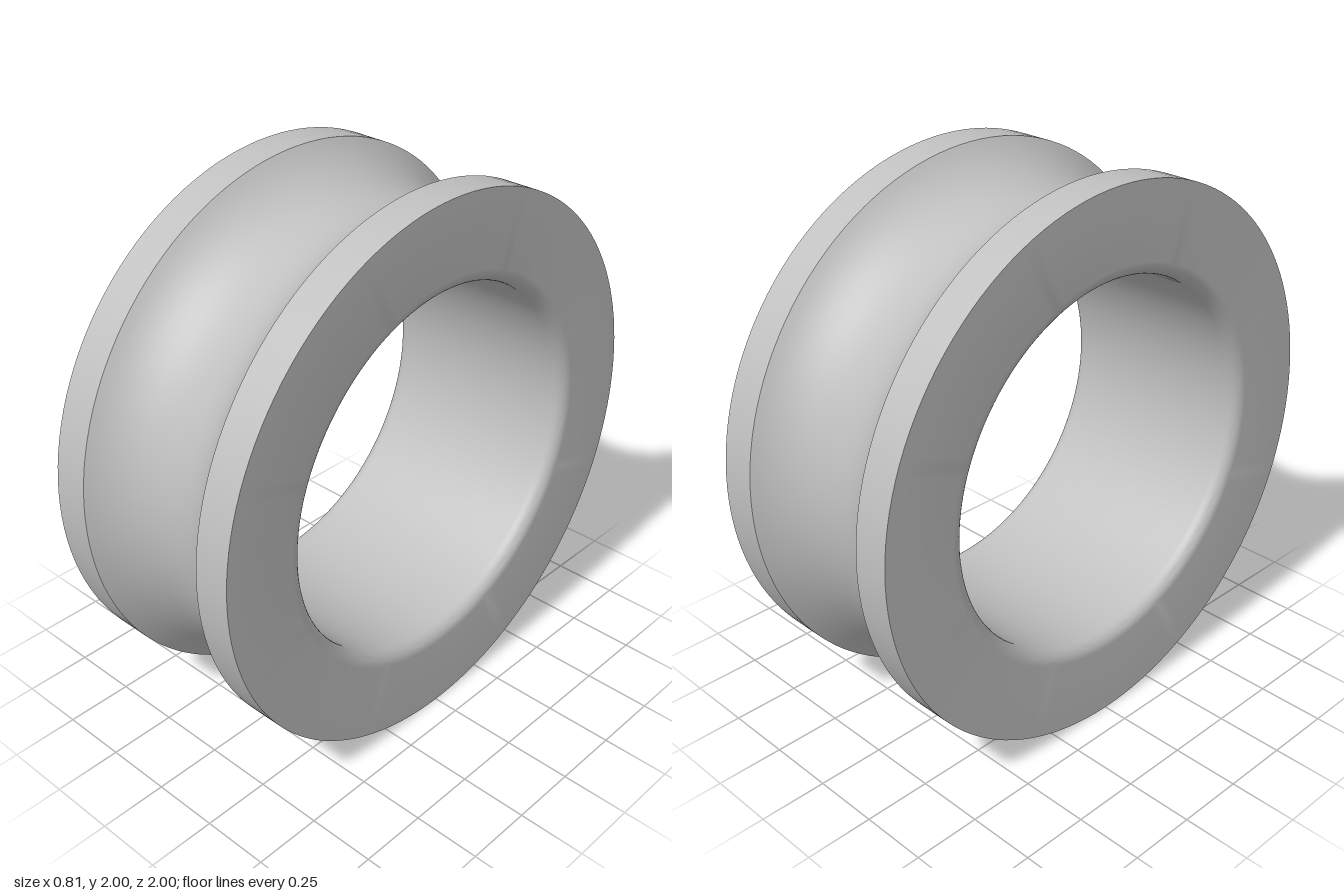
import * as THREE from 'three';
import { toCreasedNormals } from 'three/addons/utils/BufferGeometryUtils.js';

const OUTER = 1, BORE = 0.675, HALF_WIDTH = 0.405;
const GROOVE_HALF = 0.27, GROOVE_DEPTH = 0.135, FILLET = 0.05;

// Points along an arc in the (radius, axis) plane
function arc(cx, cy, r, from, to, steps) {
  return Array.from({ length: steps + 1 }, (_, i) => {
    const a = from + (to - from) * i / steps;
    return new THREE.Vector2(cx + r * Math.cos(a), cy + r * Math.sin(a));
  });
}

export function createModel() {
  const grey = new THREE.MeshStandardMaterial({ color: 0xc0c0c0 });
  grey.name = 'grey';

  // Concave groove arc between the two rims
  const r = (GROOVE_HALF ** 2 + GROOVE_DEPTH ** 2) / (2 * GROOVE_DEPTH);
  const half = Math.asin(GROOVE_HALF / r);
  const groove = arc(OUTER - GROOVE_DEPTH + r, 0, r, Math.PI + half, Math.PI - half, 28);

  // Closed cross-section: outside, end face, rounded bore, other end face
  const fc = BORE + FILLET, fy = HALF_WIDTH - FILLET;
  const profile = [
    new THREE.Vector2(OUTER, -HALF_WIDTH),
    ...groove,
    new THREE.Vector2(OUTER, HALF_WIDTH),
    ...arc(fc, fy, FILLET, Math.PI / 2, Math.PI, 8),
    ...arc(fc, -fy, FILLET, Math.PI, Math.PI * 1.5, 8),
    new THREE.Vector2(OUTER, -HALF_WIDTH),
  ];

  // Revolve, then lay the axle along x
  const geometry = toCreasedNormals(new THREE.LatheGeometry(profile, 128), Math.PI / 6);
  geometry.rotateZ(Math.PI / 2);
  const ring = new THREE.Mesh(geometry, grey);
  ring.name = 'groovedRing';
  ring.position.y = OUTER;

  const group = new THREE.Group();
  group.name = 'groovedRoller';
  group.add(ring);
  return group;
}
